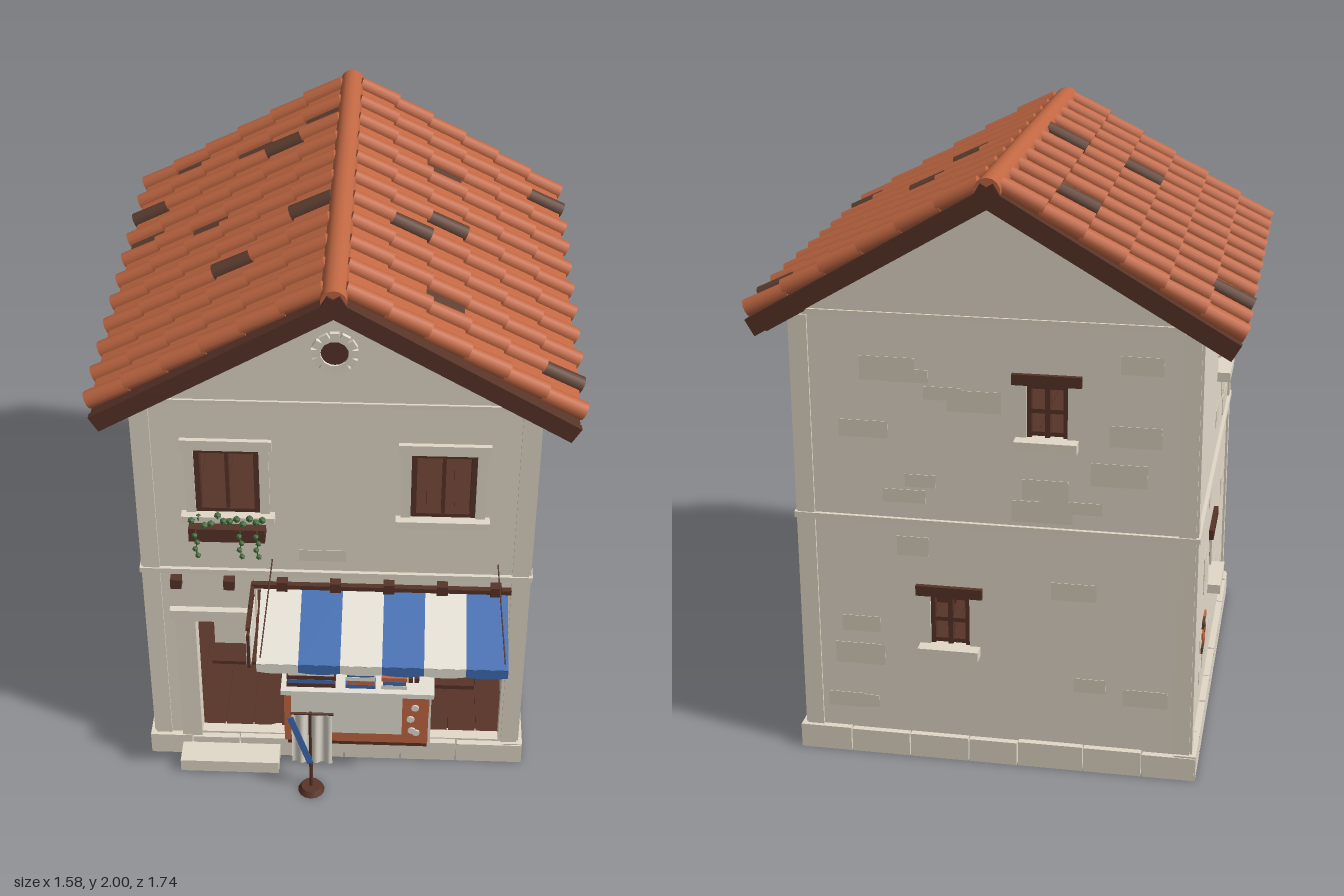
import * as THREE from 'three';

const mat = (name, color, side = THREE.FrontSide) =>
  Object.assign(new THREE.MeshStandardMaterial({ color, side }), { name });
const M = {
  wall: mat('plaster', 0xe4dbca), stone: mat('trim stone', 0xe2d9c8), patch: mat('worn plaster', 0xdbd1bf),
  wood: mat('dark wood', 0x583428), roof: mat('terracotta', 0xc26843), oldTile: mat('dark tile', 0x5f3f31),
  blue: mat('blue cloth', 0x3f6db2, THREE.DoubleSide), white: mat('white cloth', 0xe8e3d7, THREE.DoubleSide),
  leaf: mat('leaf green', 0x456d3e),
};

function add(parent, name, geo, material, x = 0, y = 0, z = 0) {
  const m = new THREE.Mesh(geo, material);
  m.name = name;
  m.position.set(x, y, z);
  parent.add(m);
  return m;
}
// box given by its limits on each axis
const box = (p, name, m, x0, x1, y0, y1, z0, z1) =>
  add(p, name, new THREE.BoxGeometry(x1 - x0, y1 - y0, z1 - z0), m, (x0 + x1) / 2, (y0 + y1) / 2, (z0 + z1) / 2);
function group(parent, name) {
  const g = new THREE.Group();
  g.name = name;
  parent.add(g);
  return g;
}
function rod(p, name, m, a, b, r = 0.004) {
  const A = new THREE.Vector3(...a), d = new THREE.Vector3(...b).sub(A);
  const c = add(p, name, new THREE.CylinderGeometry(r, r, d.length(), 6), m);
  c.position.copy(A).addScaledVector(d, 0.5);
  c.quaternion.setFromUnitVectors(new THREE.Vector3(0, 1, 0), d.normalize());
}
let seed = 7;
const rnd = () => (seed = (seed * 16807) % 2147483647) / 2147483647;
const rect = (x0, x1, y0, y1) => [[x0, y0], [x1, y0], [x1, y1], [x0, y1]];
const vec = pts => pts.map(p => new THREE.Vector2(...p));

// one wall in its own frame: outside faces +z, outer plane at z = 0
function wall(root, name, angle, x, z, outline, holes, x0, x1) {
  const g = group(root, name);
  g.position.set(x, 0, z);
  g.rotation.y = angle;
  const s = new THREE.Shape(vec(outline));
  holes.forEach(h => s.holes.push(new THREE.Path(vec(h))));
  add(g, 'plaster wall', new THREE.ExtrudeGeometry(s, { depth: 0.05, bevelEnabled: false }), M.wall, 0, 0, -0.05);
  for (const [a, b] of [[x0, x0 + 0.055], [x1 - 0.055, x1]]) box(g, 'corner strip', M.stone, a, b, 0.085, 1.53, -0.03, 0.008);
  box(g, 'storey band', M.stone, x0 - 0.01, x1 + 0.01, 0.842, 0.862, -0.03, 0.013);
  // plinth blocks
  for (let a = x0 - 0.02; a < x1;) {
    let b = a + 0.15 + rnd() * 0.07;
    if (x1 - b < 0.1) b = x1 + 0.02;
    box(g, 'plinth block', M.stone, a + 0.002, b - 0.002, 0, 0.08 + rnd() * 0.008, -0.05, 0.022);
    a = b;
  }
  // worn plaster patches kept clear of openings
  for (let i = 0; i < 30; i++) {
    const w = 0.08 + rnd() * 0.12, h = 0.04 + rnd() * 0.04;
    const px = x0 + 0.07 + rnd() * (x1 - x0 - 0.14 - w), py = 0.15 + rnd() * 1.27;
    const near = holes.some(k => px < Math.max(...k.map(c => c[0])) + 0.07 && px + w > Math.min(...k.map(c => c[0])) - 0.07
      && py < Math.max(...k.map(c => c[1])) + 0.07 && py + h > Math.min(...k.map(c => c[1])) - 0.08);
    if (!near && (py > 0.87 || py + h < 0.83)) box(g, 'plaster patch', M.patch, px, px + w, py, py + h, -0.002, 0.002);
  }
  return g;
}

// casement with stone surround; x is the middle, y0..y1 the opening
function casement(g, x, y0, y1, w = 0.21) {
  const n = group(g, 'window'), h = w / 2;
  n.position.x = x;
  for (const s of [-1, 1]) {
    const a = s * h, b = s * (h + 0.032), c = s * (h - 0.018);
    box(n, 'stone jamb', M.stone, Math.min(a, b), Math.max(a, b), y0, y1, -0.03, 0.01);
    box(n, 'frame post', M.wood, Math.min(a, c), Math.max(a, c), y0, y1, -0.035, 0.003);
  }
  box(n, 'stone head', M.stone, -h - 0.042, h + 0.042, y1, y1 + 0.038, -0.03, 0.016);
  box(n, 'stone sill', M.stone, -h - 0.048, h + 0.048, y0 - 0.026, y0, -0.03, 0.036);
  box(n, 'frame head', M.wood, -h, h, y1 - 0.018, y1, -0.035, 0.003);
  box(n, 'frame foot', M.wood, -h, h, y0, y0 + 0.014, -0.035, 0.003);
  box(n, 'mullion', M.wood, -0.006, 0.006, y0, y1, -0.03, 0);
}
// small barred window with timber lintel
function barred(g, x, y) {
  const n = group(g, 'barred window');
  n.position.set(x, y, 0);
  box(n, 'lintel', M.wood, -0.11, 0.11, 0.195, 0.23, -0.03, 0.016);
  box(n, 'sill', M.stone, -0.1, 0.1, -0.015, 0.018, -0.03, 0.045);
  for (const a of [-0.058, 0, 0.058]) box(n, 'upright bar', M.wood, a - 0.008, a + 0.008, 0.018, 0.195, -0.035, -0.008);
  for (const a of [0.03, 0.105, 0.185]) box(n, 'cross bar', M.wood, -0.06, 0.06, a - 0.007, a + 0.007, -0.033, -0.01);
}
const barredHole = (x, y) => rect(x - 0.065, x + 0.065, y + 0.01, y + 0.2);

function flowerBox(g, x, y) {
  const n = group(g, 'flower box');
  n.position.set(x, y, 0);
  box(n, 'planter', M.wood, -0.125, 0.125, 0, 0.052, 0.01, 0.068);
  const leaf = new THREE.IcosahedronGeometry(0.013);
  for (let i = 0; i < 12; i++) add(n, 'leaves', leaf, M.leaf, -0.115 + i * 0.021, 0.058 + rnd() * 0.022, 0.025 + rnd() * 0.035);
  for (const a of [-0.1, 0.045, 0.1]) {
    rod(n, 'vine', M.leaf, [a, 0.05, 0.07], [a, -0.06, 0.074], 0.002);
    for (let i = 0; i < 4; i++) add(n, 'vine leaf', leaf, M.leaf, a + (i % 2 - 0.5) * 0.008, 0.03 - i * 0.028, 0.073).scale.setScalar(0.8);
  }
}

function buildRoof(root) {
  const roof = group(root, 'roof'), pitch = Math.atan(0.585), zc = -0.095, step = 0.1415;
  const barrel = new THREE.CylinderGeometry(0.028, 0.03, 0.15, 12).rotateZ(Math.PI / 2);
  const pan = new THREE.BoxGeometry(0.15, 0.014, 0.108);
  const darkBarrels = { '1': ['5,1', '2,5', '1,6', '5,9'], '-1': ['5,2', '1,2', '0,6', '2,7'] };
  const darkPans = { '1': ['2,2', '2,8'], '-1': ['4,0', '2,1', '0,1', '5,3', '3,4'] };
  for (const s of [1, -1]) {
    const side = group(roof, s > 0 ? 'left slope' : 'right slope');
    side.position.y = 1.968;
    side.rotation.y = s > 0 ? 0 : Math.PI;
    const g = group(side, 'slope');
    g.rotation.z = -pitch;
    const c = s * zc;
    box(g, 'roof deck', M.wood, 0, 0.875, -0.036, 0, c - 0.765, c + 0.765);
    for (const e of [-1, 1]) box(g, 'bargeboard', M.wood, -0.025, 0.885, -0.055, 0.004, c + e * 0.765 - 0.012, c + e * 0.765 + 0.012);
    box(g, 'eave board', M.wood, 0.865, 0.883, -0.045, 0, c - 0.765, c + 0.765);
    for (let j = 0; j < 11; j++) {
      const z = s * (-0.81 + j * 0.142);
      box(g, 'rafter tail', M.wood, 0.72, 0.865, -0.065, -0.03, z - 0.012, z + 0.012);
      for (let i = 0; i < 6; i++) {
        const x = 0.03 + (i + 0.5) * step;
        add(g, 'barrel tile', barrel, darkBarrels[s].includes(i + ',' + j) ? M.oldTile : M.roof, x, 0.02, z).rotation.z = 0.07;
        if (j < 10)
          add(g, 'pan tile', pan, darkPans[s].includes(i + ',' + j) ? M.oldTile : M.roof, x - 0.008, 0.01, z + s * 0.071).rotation.z = 0.07;
      }
    }
  }
  add(roof, 'ridge tile', new THREE.CylinderGeometry(0.041, 0.041, 1.54, 14).rotateX(Math.PI / 2), M.roof, 0, 1.959, zc);
}

// hanging cloth with soft vertical folds
function cloth(p, name, m, x0, x1, y0, y1, z) {
  const geo = new THREE.PlaneGeometry(x1 - x0, y1 - y0, 16, 1), a = geo.attributes.position;
  for (let i = 0; i < a.count; i++) a.setZ(i, Math.sin(a.getX(i) * 130) * 0.006);
  geo.computeVertexNormals();
  add(p, name, geo, m, (x0 + x1) / 2, (y0 + y1) / 2, z);
}

function buildShop(root) {
  const g = group(root, 'shop');
  // awning
  const aw = group(g, 'awning'), w = 0.138;
  for (let i = 0; i < 6; i++) {
    const x = -0.25 + (i + 0.5) * w, m = i % 2 ? M.blue : M.white;
    add(aw, 'awning stripe', new THREE.BoxGeometry(w, 0.007, 0.275), m, x, 0.735, 0.744).rotation.x = 0.431;
    const sag = new THREE.Shape();
    sag.moveTo(-w / 2, 0.035).lineTo(-w / 2, 0).quadraticCurveTo(0, -0.014, w / 2, 0).lineTo(w / 2, 0.035);
    add(aw, 'valance', new THREE.ExtrudeGeometry(sag, { depth: 0.005, bevelEnabled: false }), m, x, 0.647, 0.865);
  }
  box(aw, 'awning rail', M.wood, -0.28, 0.59, 0.795, 0.812, 0.605, 0.625);
  for (const [a, b] of [[-0.24, -0.21], [0.57, 0.54]]) {
    rod(aw, 'stay rod', M.wood, [a, 0.675, 0.864], [b, 0.91, 0.605], 0.0025);
    rod(aw, 'strut', M.wood, [a, 0.67, 0.864], [a, 0.6, 0.605]);
    box(aw, 'strut end', M.wood, a - 0.01, a + 0.01, 0.595, 0.65, 0.6, 0.62);
  }
  for (let i = 0; i < 7; i++) box(g, 'beam end', M.wood, -0.555 + i * 0.179, -0.518 + i * 0.179, 0.79, 0.828, 0.59, 0.632);
  // hanging board beside the door
  const sign = group(g, 'hanging board');
  box(sign, 'bracket', M.wood, -0.285, -0.273, 0.79, 0.803, 0.6, 0.83);
  box(sign, 'board rim', M.wood, -0.284, -0.274, 0.622, 0.766, 0.618, 0.828);
  box(sign, 'board face', M.white, -0.287, -0.271, 0.63, 0.758, 0.626, 0.82);
  add(sign, 'ring', new THREE.TorusGeometry(0.016, 0.003, 6, 14).rotateY(Math.PI / 2), M.wood, -0.279, 0.806, 0.72);
  // doorway trim and step
  box(g, 'door pier', M.stone, -0.55, -0.48, 0.085, 0.64, 0.56, 0.618);
  box(g, 'door lintel', M.stone, -0.565, -0.275, 0.64, 0.685, 0.56, 0.625);
  box(g, 'step', M.stone, -0.55, -0.2, 0.005, 0.055, 0.6, 0.715);
  // counter
  const c = group(g, 'counter');
  box(c, 'counter body', M.roof, -0.18, 0.33, 0.115, 0.345, 0.48, 0.655);
  box(c, 'counter base', M.wood, -0.17, 0.325, 0.09, 0.115, 0.49, 0.645);
  box(c, 'counter top', M.white, -0.19, 0.345, 0.345, 0.365, 0.475, 0.668);
  box(c, 'front panel', M.white, -0.155, 0.235, 0.16, 0.345, 0.65, 0.659);
  box(c, 'side panel', M.white, 0.327, 0.336, 0.115, 0.345, 0.48, 0.655);
  for (const [x, y] of [[0.28, 0.29], [0.265, 0.235], [0.285, 0.17], [0.27, 0.18]])
    add(c, 'plate', new THREE.CylinderGeometry(0.014, 0.014, 0.008, 8).rotateX(Math.PI / 2), M.white, x, y, 0.657);
  // folded cloth stacks
  for (const [x0, x1, ms] of [[-0.17, 0, ['wood', 'blue', 'wood', 'white']], [0.035, 0.14, ['blue', 'roof', 'white', 'blue', 'white']],
    [0.16, 0.25, ['white', 'blue', 'roof']]])
    ms.forEach((k, i) => box(c, 'folded cloth', M[k], x0 + (i % 2) * 0.006, x1 - (i % 2) * 0.004, 0.365 + i * 0.018, 0.382 + i * 0.018, 0.55, 0.645));
  // small dark pots at the counter end
  for (const x of [0.24, 0.262, 0.284]) box(c, 'small pot', M.wood, x - 0.008, x + 0.008, 0.365, 0.385, 0.59, 0.61);
  // rack behind the counter
  for (const x of [-0.165, 0.06, 0.305]) box(c, 'rack post', M.wood, x - 0.007, x + 0.007, 0.1, 0.55, 0.45, 0.465);
  for (const y of [0.41, 0.545]) box(c, 'rack rail', M.wood, -0.172, 0.312, y - 0.007, y + 0.007, 0.45, 0.465);
  // garments under the awning
  const h = group(g, 'hanging cloths');
  rod(h, 'hanging rail', M.wood, [-0.24, 0.635, 0.61], [0.57, 0.635, 0.61]);
  for (let i = 0; i < 5; i++) cloth(h, 'striped cloth', i % 2 ? M.blue : M.white, -0.11 + i * 0.024, -0.086 + i * 0.024, 0.45, 0.635, 0.61);
  cloth(h, 'terracotta garment', M.roof, 0.11, 0.23, 0.44, 0.58, 0.61);
  cloth(h, 'terracotta sleeves', M.roof, 0.07, 0.27, 0.57, 0.63, 0.61);
  cloth(h, 'blue garment', M.blue, 0.33, 0.44, 0.44, 0.575, 0.61);
  cloth(h, 'blue sleeves', M.blue, 0.29, 0.475, 0.56, 0.63, 0.61);
  // jars on a tray
  box(g, 'tray', M.wood, 0.34, 0.5, 0.09, 0.108, 0.15, 0.35);
  const jar = new THREE.LatheGeometry(vec([[0, 0], [0.018, 0], [0.036, 0.07], [0.037, 0.11], [0.016, 0.145], [0.014, 0.165], [0.022, 0.178], [0, 0.178]]), 14);
  for (const [x, z] of [[0.41, 0.28], [0.48, 0.22]]) {
    add(g, 'jar', jar, M.roof, x, 0.108, z);
    for (const s of [-1, 1]) add(g, 'jar handle', new THREE.TorusGeometry(0.016, 0.004, 5, 10), M.roof, x + s * 0.02, 0.248, z);
  }
  // crate inside the door
  box(g, 'pallet', M.wood, -0.48, -0.28, 0.088, 0.105, 0.05, 0.25);
  box(g, 'plinth box', M.stone, -0.48, -0.34, 0.105, 0.215, -0.05, 0.15);
  for (let i = 0; i < 3; i++) box(g, 'crate slat', M.wood, -0.48, -0.385, 0.217 + i * 0.024, 0.24 + i * 0.024, 0, 0.1);
  // banner stand in the street
  const b = group(g, 'banner stand');
  add(b, 'stand foot', new THREE.CylinderGeometry(0.035, 0.047, 0.02, 14), M.wood, -0.08, 0.01, 0.78);
  rod(b, 'stand pole', M.wood, [-0.08, 0.01, 0.78], [-0.08, 0.375, 0.78], 0.007);
  rod(b, 'stand arm', M.wood, [-0.15, 0.37, 0.78], [0, 0.37, 0.78], 0.005);
  cloth(b, 'banner', M.white, -0.145, -0.005, 0.14, 0.368, 0.785);
  add(b, 'banner sash', new THREE.BoxGeometry(0.022, 0.23, 0.004), M.blue, -0.115, 0.252, 0.793).rotation.z = 0.3;
}

export function createModel() {
  const root = new THREE.Group();
  root.name = 'market house';
  const gable = [[-0.645, 0], [0.645, 0], [0.645, 1.54], [0, 1.915], [-0.645, 1.54]], H = Math.PI / 2;

  // front wall
  const shopHole = [[-0.48, 0.09], [0.58, 0.09], [0.58, 0.77], [-0.27, 0.77], [-0.27, 0.645], [-0.48, 0.645]];
  const front = wall(root, 'front wall', 0, 0, 0.6, gable,
    [shopHole, rect(-0.455, -0.245, 1.105, 1.36), rect(0.245, 0.455, 1.105, 1.36)], -0.645, 0.645);
  for (const x of [-0.35, 0.35]) casement(front, x, 1.105, 1.36);
  flowerBox(front, -0.352, 1.028);
  // gable vent
  add(front, 'vent', new THREE.CylinderGeometry(0.043, 0.043, 0.012, 20).rotateX(H), M.wood, 0, 1.738, 0.002);
  for (let i = 0; i < 12; i++) {
    const a = i * Math.PI / 6;
    add(front, 'vent stone', new THREE.BoxGeometry(0.03, 0.028, 0.02), M.stone, Math.cos(a) * 0.058, 1.738 + Math.sin(a) * 0.058, 0.004).rotation.z = a;
  }

  // back wall
  const back = wall(root, 'back wall', Math.PI, 0, -0.795, gable, [barredHole(0.17, 1.145), barredHole(-0.15, 0.4)], -0.645, 0.645);
  barred(back, 0.17, 1.145);
  barred(back, -0.15, 0.4);
  for (const g of [front, back]) box(g, 'gable band', M.stone, -0.645, 0.645, 1.535, 1.55, -0.03, 0.008);

  // side walls
  const left = wall(root, 'left wall', H, 0.645, 0, rect(-0.6, 0.795, 0, 1.54),
    [rect(0.15, 0.35, 1.12, 1.36), rect(-0.15, 0.04, 0.38, 0.61)], -0.6, 0.795);
  casement(left, 0.25, 1.12, 1.36, 0.2);
  casement(left, -0.055, 0.38, 0.61, 0.19);
  flowerBox(left, 0.25, 1.05);
  const right = wall(root, 'right wall', -H, -0.645, 0, rect(-0.795, 0.6, 0, 1.54),
    [barredHole(0.03, 1.145), barredHole(-0.1, 0.4)], -0.795, 0.6);
  barred(right, 0.03, 1.145);
  barred(right, -0.1, 0.4);
  // exposed bricks
  for (let r = 0; r < 4; r++) for (let i = 0; i < 2; i++) {
    const x = -0.44 + i * 0.058 + (r % 2) * 0.025, y = 0.27 + r * 0.027;
    box(right, 'exposed brick', (r + i) % 3 ? M.roof : M.oldTile, x, x + 0.052, y, y + 0.022, -0.01, 0.007);
  }

  // floors
  box(root, 'ground slab', M.wood, -0.6, 0.6, 0.004, 0.08, -0.75, 0.56);
  for (let i = 0; i < 12; i++) {
    const x = -0.6 + i * 0.1;
    for (const y of [0.08, 0.85]) box(root, 'floor board', M.wood, x + 0.002, x + 0.098, y, y + 0.01, -0.75, 0.56);
  }
  box(root, 'upper floor', M.wood, -0.6, 0.6, 0.825, 0.85, -0.75, 0.55);
  // small table with a vase inside
  box(root, 'table top', M.wood, -0.1, 0, 0.462, 0.472, -0.04, 0.07);
  rod(root, 'table leg', M.wood, [-0.05, 0.09, 0.015], [-0.05, 0.465, 0.015], 0.008);
  add(root, 'vase', new THREE.LatheGeometry(vec([[0, 0], [0.014, 0], [0.008, 0.015], [0.02, 0.035], [0.016, 0.055], [0, 0.058]]), 12), M.stone, -0.05, 0.472, 0.015);

  buildShop(root);
  buildRoof(root);
  return root;
}
